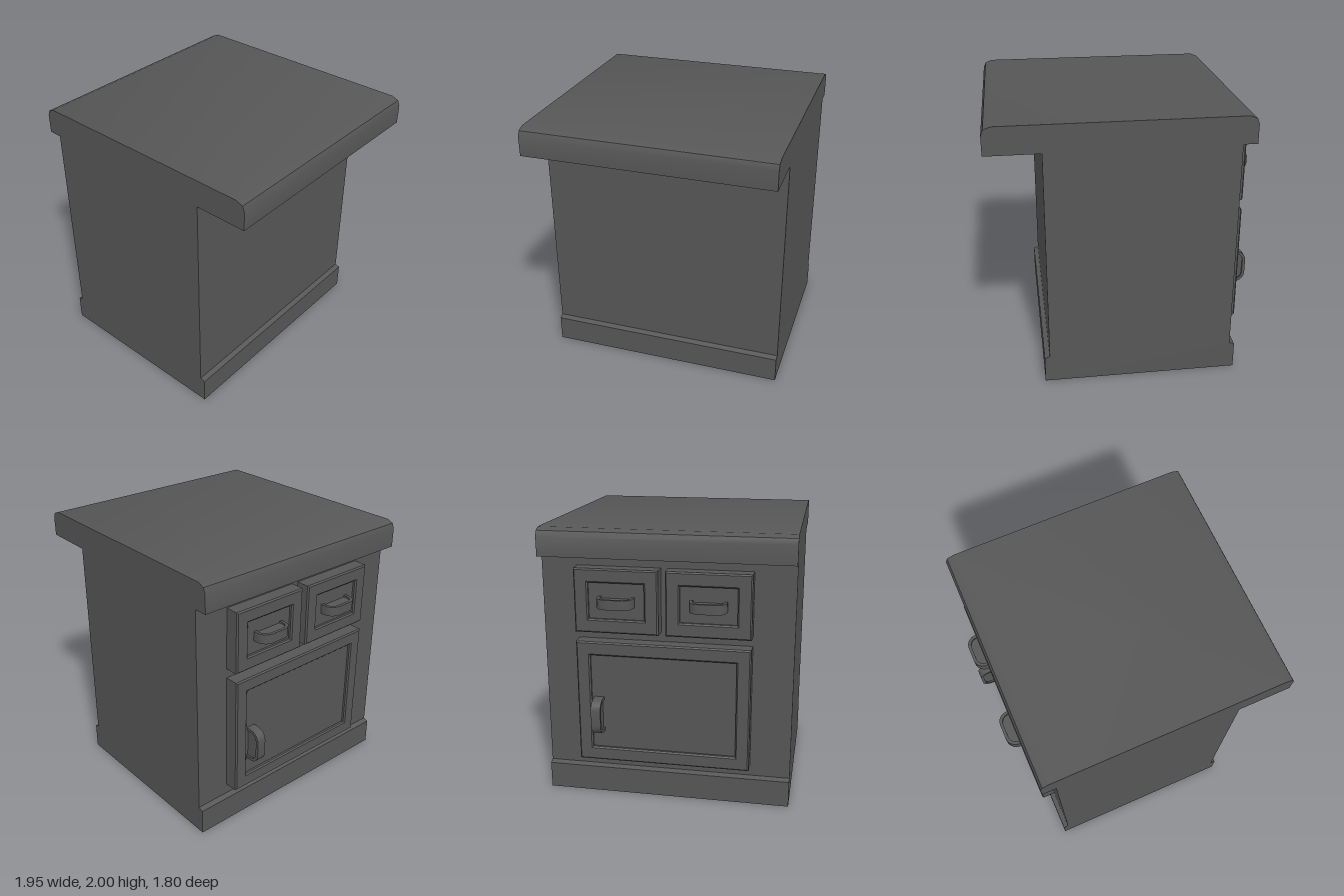
import * as THREE from 'three';
import { toCreasedNormals } from 'three/addons/utils/BufferGeometryUtils.js';

const material = new THREE.MeshStandardMaterial({ color: 0x565656 });
const CREASE = 0.6;

function addMesh(parent, name, geometry, x = 0, y = 0, z = 0) {
  const mesh = new THREE.Mesh(geometry, material);
  mesh.name = name;
  mesh.position.set(x, y, z);
  parent.add(mesh);
  return mesh;
}

// Cabinet cross-section: plinth, body and rounded worktop, run along z
function cabinetGeometry() {
  const right = [[0.62, 0], [0.62, 0.195], [0.583, 0.21], [0.583, 1.8], [0.973, 1.8],
    [0.973, 1.94], [0.957, 1.98], [0.905, 2]];
  const left = [[-0.815, 2], [-0.863, 1.98], [-0.878, 1.94], [-0.878, 1.8], [-0.777, 1.8],
    [-0.777, 0.21], [-0.814, 0.195], [-0.814, 0]];
  const shape = new THREE.Shape([...right, ...left].map(([x, y]) => new THREE.Vector2(x, y)));
  const geometry = new THREE.ExtrudeGeometry(shape, { depth: 1.8, bevelEnabled: false });
  return toCreasedNormals(geometry.translate(0, 0, -0.9), CREASE);
}

function rectangle(path, w, h) {
  path.moveTo(-w / 2, -h / 2);
  path.lineTo(w / 2, -h / 2);
  path.lineTo(w / 2, h / 2);
  path.lineTo(-w / 2, h / 2);
  path.closePath();
  return path;
}

// Frame with slightly bevelled edges
function frameGeometry(w, h, depth, border) {
  const bevel = 0.01;
  const shape = rectangle(new THREE.Shape(), w - 2 * bevel, h - 2 * bevel);
  const inset = 2 * border - 2 * bevel;
  shape.holes.push(rectangle(new THREE.Path(), w - inset, h - inset));
  return new THREE.ExtrudeGeometry(shape, {
    depth: depth - bevel, bevelThickness: bevel, bevelSize: bevel, bevelSegments: 1,
  });
}

// Rounded D outline of a handle, flat side on y = 0
function handleOutline(half, reach, radius) {
  const points = [new THREE.Vector2(half, 0)];
  for (let i = 0; i <= 5; i++) {
    const a = (i / 5) * Math.PI / 2;
    points.push(new THREE.Vector2(half - radius + radius * Math.cos(a), reach - radius + radius * Math.sin(a)));
  }
  return [...points, ...points.slice().reverse().map((p) => new THREE.Vector2(-p.x, p.y))];
}

function handlePart(points, thickness) {
  const geometry = new THREE.ExtrudeGeometry(new THREE.Shape(points), { depth: thickness, bevelEnabled: false });
  return toCreasedNormals(geometry.translate(0, 0, -thickness / 2).rotateX(Math.PI / 2), CREASE);
}

// Handle: a rounded strap around a slightly sunken core
function makeHandle(reach) {
  const group = new THREE.Group();
  group.name = 'handle';
  const outer = handleOutline(0.13, reach, 0.075);
  const inner = handleOutline(0.108, reach - 0.022, 0.055);
  addMesh(group, 'handleStrap', handlePart([...outer, ...inner.slice().reverse()], 0.07));
  addMesh(group, 'handleCore', handlePart(inner, 0.045));
  return group;
}

// Recessed panel front with a handle, facing local +z
function panelFront(name, w, h, reach) {
  const group = new THREE.Group();
  group.name = name;
  addMesh(group, name + 'Frame', frameGeometry(w, h, 0.106, 0.1));
  addMesh(group, name + 'Panel', new THREE.BoxGeometry(w - 0.1, h - 0.1, 0.08), 0, 0, 0.04);
  const handle = makeHandle(reach);
  handle.position.z = 0.078;
  group.add(handle);
  return { group, handle };
}

export function createModel() {
  const model = new THREE.Group();
  model.name = 'kitchenCounter';
  addMesh(model, 'cabinet', cabinetGeometry());

  // Fronts on the -x side: local x runs along world z
  const fronts = new THREE.Group();
  fronts.name = 'cabinetFronts';
  fronts.position.x = -0.777;
  fronts.rotation.y = -Math.PI / 2;
  model.add(fronts);

  // Two drawers side by side
  for (const z of [-0.34, 0.31]) {
    const drawer = panelFront('drawer', 0.6, 0.46, 0.11);
    drawer.group.position.set(z, 1.5, 0);
    drawer.handle.position.y = -0.003;
    fronts.add(drawer.group);
  }

  // Door below the drawers, with an upright handle
  const door = panelFront('door', 1.25, 0.91, 0.122);
  door.group.position.set(-0.015, 0.745, 0);
  door.handle.position.x = -0.47;
  door.handle.position.y = -0.095;
  door.handle.rotation.z = Math.PI / 2;
  fronts.add(door.group);
  return model;
}
